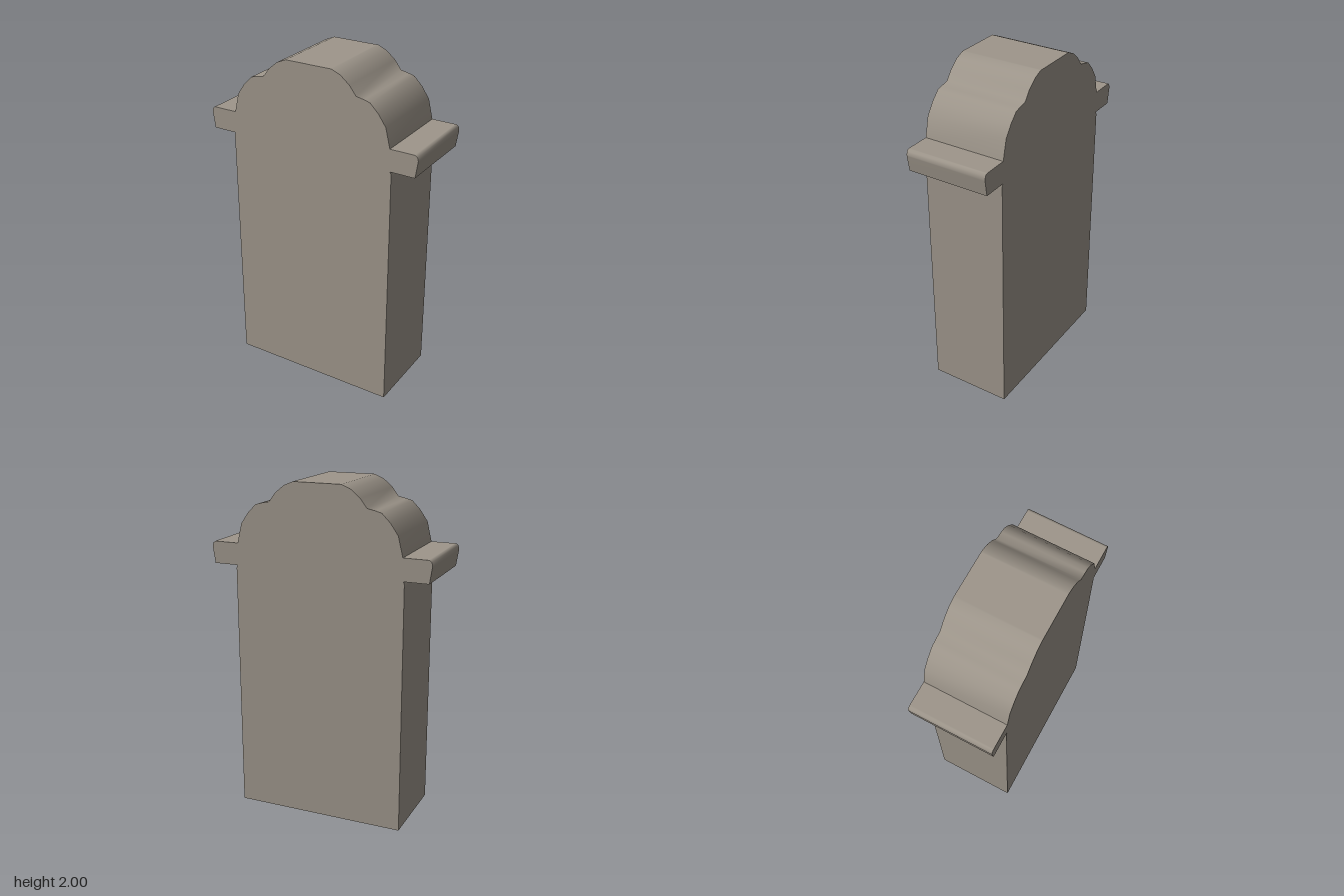
import * as THREE from 'three';
import { toCreasedNormals } from 'three/addons/utils/BufferGeometryUtils.js';

export function createModel() {
  const group = new THREE.Group();
  group.name = 'archedStone';
  const stone = new THREE.MeshStandardMaterial({ color: 0x9e968b });
  stone.name = 'warm grey stone';

  // Half outline of the slab, from the base up to the flat top
  const body = [[0.515, 0], [0.515, 1.47], [0.515, 1.485], [0.508, 1.5]];
  const ledge = [[0.655, 1.5], [0.669, 1.592], [0.67, 1.6], [0.665, 1.62], [0.652, 1.63], [0.645, 1.63]];
  const crown = [
    [0.503, 1.63], [0.475, 1.745], [0.43, 1.81], [0.38, 1.86], [0.345, 1.87],
    [0.295, 1.88], [0.255, 1.932], [0.2, 1.977], [0.145, 2], [0.135, 2],
  ];
  const half = [...body, ...ledge, ...crown].map(([x, y]) => new THREE.Vector2(x, y));
  const mirrored = half.map((p) => new THREE.Vector2(-p.x, p.y)).reverse();

  // Full symmetric outline, extruded through the depth
  const depth = 0.495;
  const geometry = new THREE.ExtrudeGeometry(new THREE.Shape([...half, ...mirrored]), {
    depth, bevelEnabled: false,
  });
  geometry.translate(0, 0, -depth / 2);

  // Soft shading on the scalloped crown, sharp edges elsewhere
  const slab = new THREE.Mesh(toCreasedNormals(geometry, 0.8), stone);
  slab.name = 'slabWithLedgesAndCrown';
  group.add(slab);
  return group;
}
